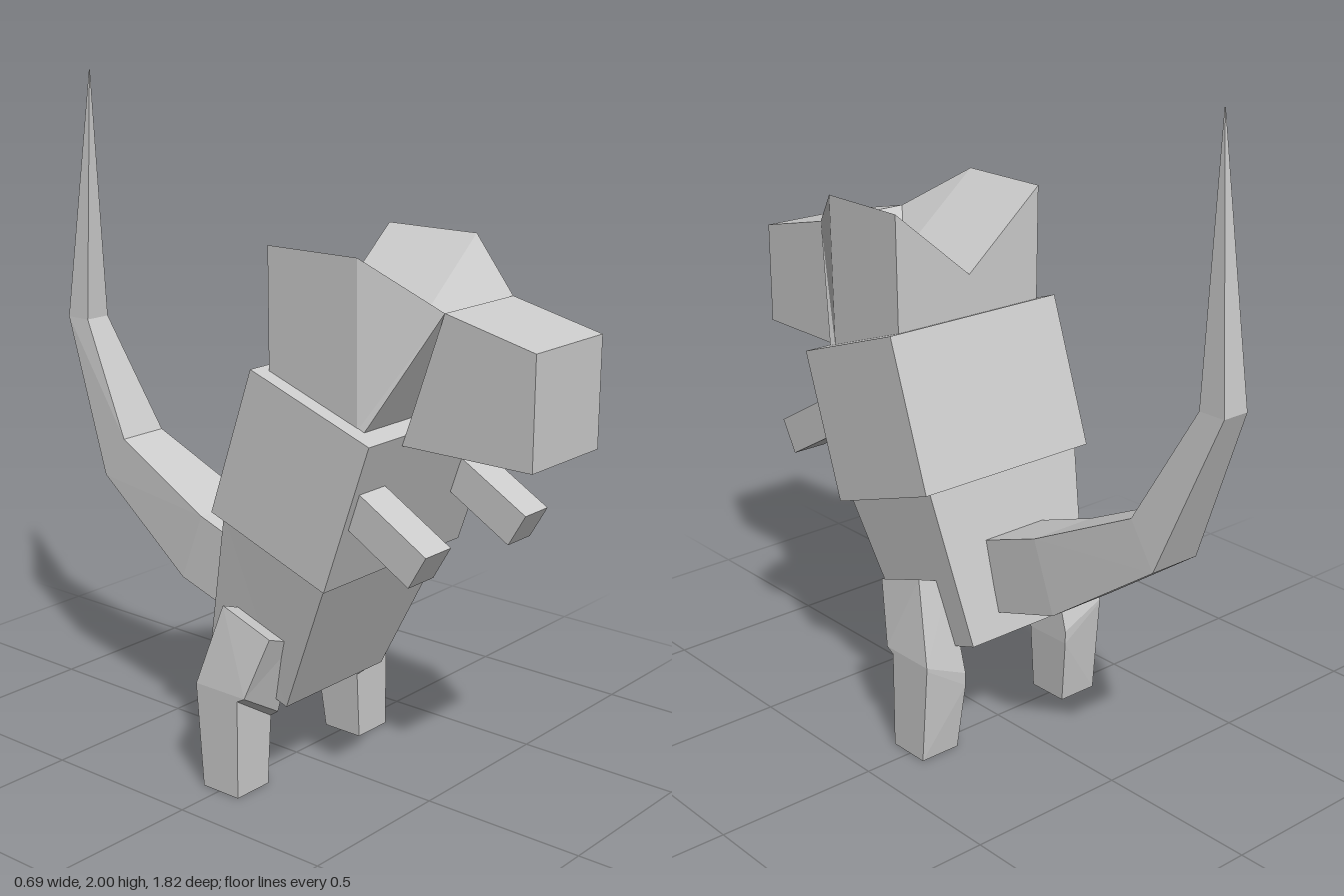
import * as THREE from 'three';

const grey = new THREE.MeshStandardMaterial({ color: 0xcccccc });
grey.name = 'plain grey';

// Closed flat-faced solid through rings of equal point count
function loft(name, rings) {
  const tris = [];
  const n = rings[0].length;
  const v = (p) => new THREE.Vector3(...p);
  for (let r = 0; r + 1 < rings.length; r++) {
    for (let i = 0; i < n; i++) {
      const j = (i + 1) % n;
      const a = v(rings[r][i]), b = v(rings[r][j]);
      const c = v(rings[r + 1][j]), d = v(rings[r + 1][i]);
      // split each quad along its shorter diagonal
      if (a.distanceTo(c) <= b.distanceTo(d)) tris.push([a, b, c], [a, c, d]);
      else tris.push([a, b, d], [b, c, d]);
    }
  }
  const first = rings[0].map(v), last = rings[rings.length - 1].map(v);
  for (let i = 1; i + 1 < n; i++) {
    tris.push([first[0], first[i + 1], first[i]], [last[0], last[i], last[i + 1]]);
  }
  // turn the solid outward whichever way the rings run
  const volume = tris.reduce((s, [a, b, c]) => s + a.dot(b.clone().cross(c)), 0);
  if (volume < 0) tris.forEach((t) => t.reverse());
  const geometry = new THREE.BufferGeometry().setFromPoints(tris.flat());
  geometry.computeVertexNormals();
  const mesh = new THREE.Mesh(geometry, grey);
  mesh.name = name;
  return mesh;
}

// Four-sided bar; each section is two side-on points (z, y) and its x range
function bar(name, sections) {
  return loft(name, sections.map(([z0, y0, z1, y1, x0, x1 = -x0]) => [
    [x0, y0, z0], [x1, y0, z0], [x1, y1, z1], [x0, y1, z1],
  ]));
}

export function createModel() {
  const model = new THREE.Group();
  model.name = 'creature';

  // leaning body
  model.add(bar('upperBody', [
    [0.51, 1.12, 0.10, 1.265, 0.31],
    [0.36, 0.685, -0.05, 0.83, 0.31],
  ]));
  model.add(bar('lowerBody', [
    [0.34, 0.69, -0.03, 0.82, 0.28],
    [0.15, 0.265, -0.145, 0.365, 0.22],
  ]));

  // head with a valley between two raised sides
  const headRing = (mid, top, low) => [
    mid, top, low, [-low[0], low[1], low[2]], [-top[0], top[1], top[2]],
  ];
  model.add(loft('head', [
    headRing([0, 1.38, 0.125], [0.265, 1.6, 0.125], [0.26, 1.15, 0.125]),
    headRing([0, 1.38, 0.43], [0.265, 1.6, 0.43], [0.26, 1.14, 0.43]),
    headRing([0, 1.465, 0.63], [0.155, 1.465, 0.63], [0.26, 1.14, 0.455]),
  ]));
  model.add(bar('snout', [
    [0.63, 1.465, 0.5, 1.09, 0.155],
    [0.91, 1.4, 0.91, 1.09, 0.155],
  ]));

  // tail sweeping back, then up to a point
  model.add(bar('tail', [
    [-0.07, 0.645, -0.13, 0.435, 0.11],
    [-0.28, 0.72, -0.36, 0.51, 0.11],
    [-0.63, 0.89, -0.715, 0.76, 0.083],
    [-0.82, 1.235, -0.905, 1.235, 0.043],
    [-0.824, 2, -0.826, 2, 0.001],
  ]));

  // arms and legs, mirrored
  for (const [s, side] of [[1, 'left'], [-1, 'right']]) {
    model.add(bar(side + 'Arm', [
      [0.455, 0.98, 0.40, 0.885, s * 0.175, s * 0.285],
      [0.68, 0.85, 0.625, 0.755, s * 0.175, s * 0.285],
    ]));
    // corners: outer front, outer back, inner back, inner front
    const legRings = [
      [[0.345, 0, 0.073], [0.345, 0, -0.06], [0.213, 0, -0.06], [0.213, 0, 0.073]],
      [[0.345, 0.3, 0.073], [0.345, 0.305, -0.085], [0.2, 0.21, -0.085], [0.2, 0.21, 0.073]],
      [[0.345, 0.315, 0.1], [0.345, 0.315, -0.085], [0.2, 0.25, -0.085], [0.2, 0.23, 0.1]],
      [[0.31, 0.5, 0.165], [0.31, 0.56, -0.01], [0.2, 0.52, -0.01], [0.2, 0.46, 0.165]],
    ];
    model.add(loft(side + 'Leg', legRings.map((ring) => ring.map(([x, y, z]) => [s * x, y, z]))));
  }
  return model;
}
